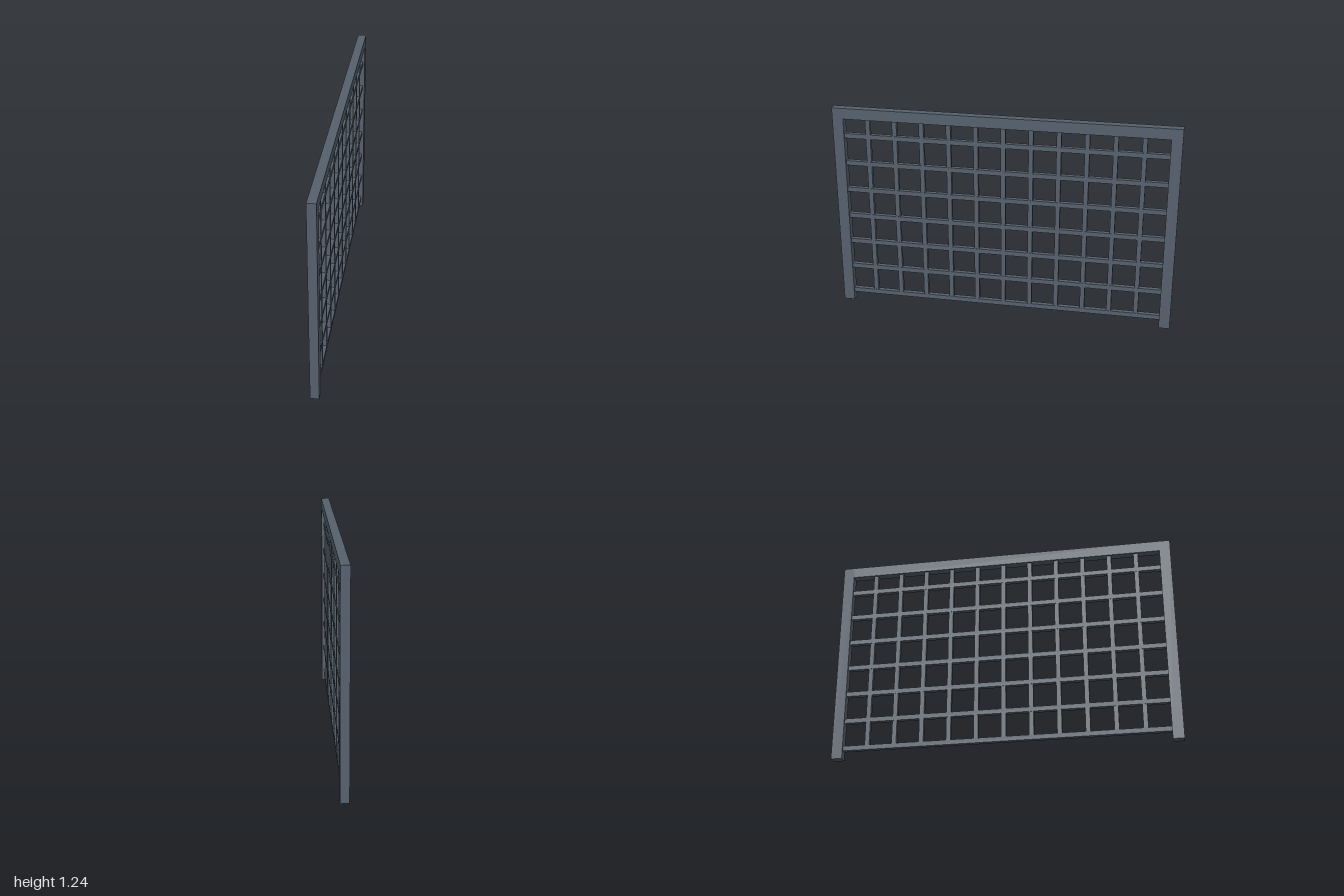
import * as THREE from 'three';

export function createModel() {
  const model = new THREE.Group();
  model.name = 'latticePanel';
  const steel = new THREE.MeshStandardMaterial({ color: 0x56616d });
  steel.name = 'slate grey';

  const height = 1.24, frame = 0.064, depth = 0.05;
  const inner = 2 - 2 * frame;

  function box(name, w, h, d, y, z, parent = model) {
    const mesh = new THREE.Mesh(new THREE.BoxGeometry(w, h, d), steel);
    mesh.name = name;
    mesh.position.set(0, y, z);
    parent.add(mesh);
  }

  // Outer frame: two posts joined by a top rail
  for (const side of [1, -1]) {
    box(side > 0 ? 'frontPost' : 'backPost', depth, height, frame, height / 2, side * (1 - frame / 2));
  }
  box('topRail', depth, frame, inner, height - frame / 2, 0);

  // Upright bars, from the lowest crossbar to the top rail
  const uprights = new THREE.Group();
  uprights.name = 'uprightBars';
  const low = 0.062, top = height - frame;
  for (let i = -5; i <= 5; i++) {
    box('uprightBar', 0.026, top - low, 0.027, (top + low) / 2, i * 0.159, uprights);
  }

  // Crossbars between the posts
  const crossbars = new THREE.Group();
  crossbars.name = 'crossbars';
  for (let i = 0; i < 7; i++) {
    box('crossbar', 0.028, 0.028, inner, 0.063 + i * 0.168, 0, crossbars);
  }

  model.add(uprights, crossbars);
  return model;
}
